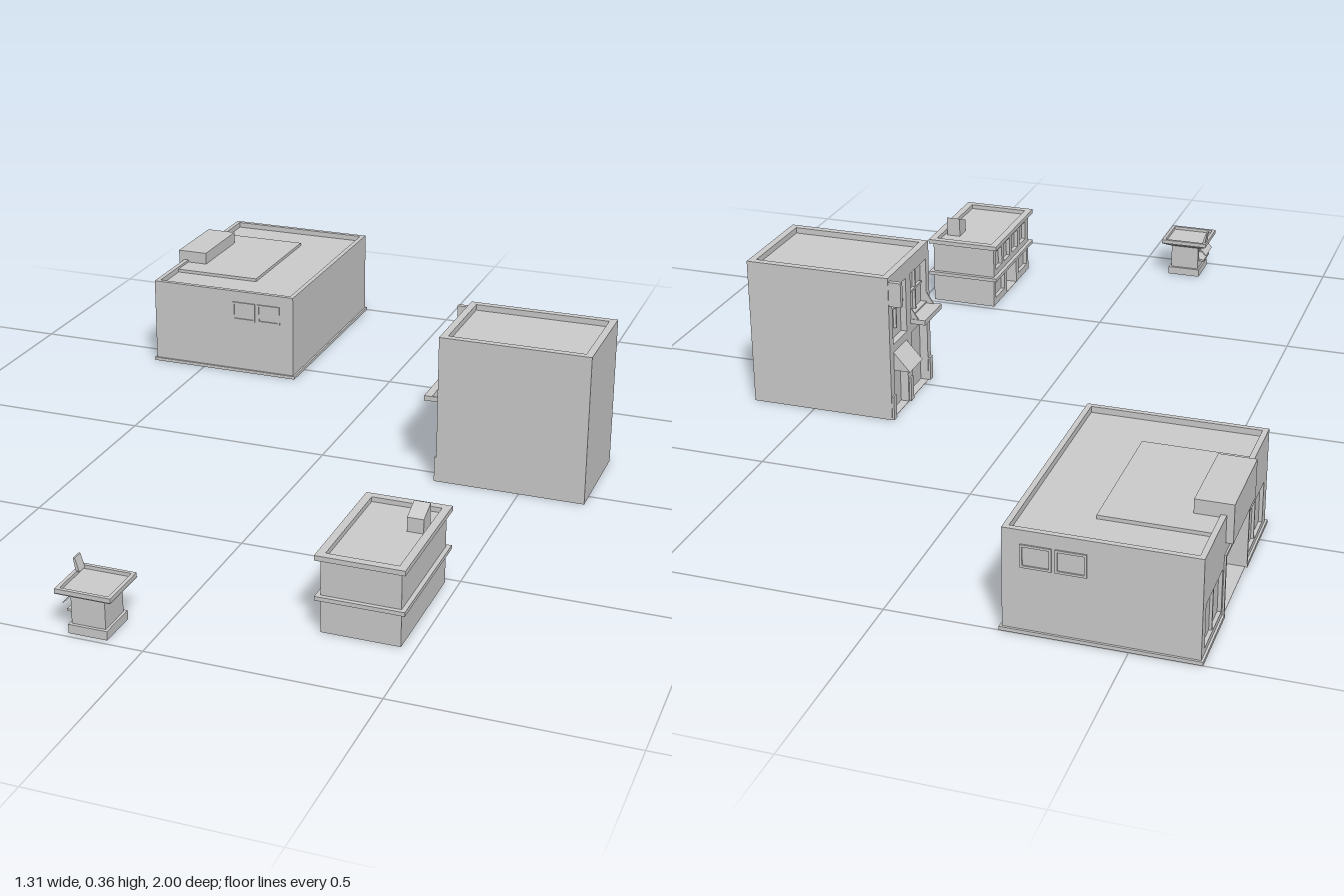
import * as THREE from 'three';

const mat = new THREE.MeshStandardMaterial({ color: 0xcccccc, flatShading: true, side: THREE.DoubleSide });

// Box given by its limits on each axis
function box(parent, name, x0, x1, y0, y1, z0, z1) {
  const m = new THREE.Mesh(new THREE.BoxGeometry(x1 - x0, y1 - y0, z1 - z0), mat);
  m.position.set((x0 + x1) / 2, (y0 + y1) / 2, (z0 + z1) / 2);
  m.name = name;
  parent.add(m);
  return m;
}

// Prism from an (x, y) outline, running from z0 to z1
function prism(parent, name, pts, z0, z1) {
  const shape = new THREE.Shape(pts.map(p => new THREE.Vector2(...p)));
  const m = new THREE.Mesh(new THREE.ExtrudeGeometry(shape, { depth: z1 - z0, bevelEnabled: false }), mat);
  m.position.z = z0;
  m.name = name;
  parent.add(m);
  return m;
}

// Rectangular ring of four bars
function ring(parent, name, x0, x1, y0, y1, z0, z1, w) {
  box(parent, name, x0, x0 + w, y0, y1, z0, z1);
  box(parent, name, x1 - w, x1, y0, y1, z0, z1);
  box(parent, name, x0 + w, x1 - w, y0, y1, z0, z0 + w);
  box(parent, name, x0 + w, x1 - w, y0, y1, z1 - w, z1);
}

// Street wall facing -x; openings are [z0, z1, y0, y1, depth]
function facade(parent, x, t, y0, y1, z0, z1, openings) {
  const rect = (Type, a, b, c, d) => {
    const p = new Type();
    p.moveTo(a, c); p.lineTo(b, c); p.lineTo(b, d); p.lineTo(a, d); p.closePath();
    return p;
  };
  const shape = rect(THREE.Shape, z0, z1, y0, y1);
  for (const [a, b, c, d, depth] of openings) {
    shape.holes.push(rect(THREE.Path, a, b, c, d));
    box(parent, 'openingPanel', x + depth, x + t, c, d, a, b);
  }
  const g = new THREE.ExtrudeGeometry(shape, { depth: t, bevelEnabled: false });
  g.rotateY(-Math.PI / 2);
  const m = new THREE.Mesh(g, mat);
  m.position.x = x + t;
  m.name = 'facade';
  parent.add(m);
}

// Hollow shell: street wall, three plain walls, sunken roof
function shell(parent, x0, x1, h, z0, z1, t, w, sink, openings) {
  facade(parent, x0, t, 0, h - sink, z0, z1, openings);
  box(parent, 'rearWall', x1 - w, x1, 0, h - sink, z0, z1);
  box(parent, 'sideWall', x0 + t, x1 - w, 0, h - sink, z0, z0 + w);
  box(parent, 'sideWall', x0 + t, x1 - w, 0, h - sink, z1 - w, z1);
  box(parent, 'roof', x0 + w, x1 - w, h - sink - 0.006, h - sink, z0 + w, z1 - w);
}

function group(parent, name) {
  const g = new THREE.Group();
  g.name = name;
  parent.add(g);
  return g;
}

// Wide store with a recessed entrance
function store(root) {
  const g = group(root, 'store');
  shell(g, -0.64, -0.245, 0.225, -0.995, -0.43, 0.05, 0.012, 0.014, [
    [-0.82, -0.62, 0.001, 0.135, 0.045],
    [-0.97, -0.835, 0.02, 0.115, 0.008],
    [-0.605, -0.46, 0.02, 0.115, 0.008]]);
  ring(g, 'parapet', -0.64, -0.245, 0.211, 0.225, -0.995, -0.43, 0.012);
  // Skirting, broken at the entrance
  box(g, 'skirting', -0.245, -0.24, 0, 0.008, -1, -0.425);
  for (const z of [-1, -0.43]) box(g, 'skirting', -0.645, -0.24, 0, 0.008, z, z + 0.005);
  box(g, 'skirting', -0.645, -0.64, 0, 0.008, -1, -0.82);
  box(g, 'skirting', -0.645, -0.64, 0, 0.008, -0.62, -0.425);
  box(g, 'roofDeck', -0.63, -0.4, 0.211, 0.219, -0.885, -0.555);
  box(g, 'signBox', -0.655, -0.575, 0.165, 0.25, -0.82, -0.62);
  // Entrance frame, doors and window mullions
  for (const z of [-0.826, -0.62]) box(g, 'entranceFrame', -0.644, -0.64, 0, 0.135, z, z + 0.006);
  box(g, 'entranceFrame', -0.644, -0.64, 0.135, 0.141, -0.826, -0.614);
  for (const z of [-0.77, -0.722, -0.674]) box(g, 'doorPost', -0.6, -0.594, 0, 0.13, z, z + 0.005);
  for (const z of [-0.905, -0.535]) box(g, 'mullion', -0.638, -0.63, 0.02, 0.115, z, z + 0.005);
  // Paired high windows on both side walls
  for (const z of [-0.995, -0.43]) {
    for (const x of [-0.415, -0.345]) {
      const y0 = 0.145, y1 = 0.195, f = 0.005;
      box(g, 'windowFrame', x, x + 0.063, y0, y0 + f, z - 0.003, z + 0.003);
      box(g, 'windowFrame', x, x + 0.063, y1 - f, y1, z - 0.003, z + 0.003);
      box(g, 'windowFrame', x, x + f, y0, y1, z - 0.003, z + 0.003);
      box(g, 'windowFrame', x + 0.063 - f, x + 0.063, y0, y1, z - 0.003, z + 0.003);
    }
  }
}

// Tall town house with awning and balcony
function townHouse(root) {
  const g = group(root, 'townHouse');
  shell(g, 0.3, 0.655, 0.36, -0.212, 0.045, 0.025, 0.015, 0.014, [
    [-0.19, -0.105, 0.001, 0.12, 0.02],
    [-0.19, -0.105, 0.185, 0.32, 0.015],
    [-0.075, 0.025, 0.001, 0.17, 0.02],
    [-0.075, 0.025, 0.21, 0.32, 0.015]]);
  ring(g, 'parapet', 0.3, 0.655, 0.346, 0.36, -0.212, 0.045, 0.017);
  // Sloping awning over the shop window
  prism(g, 'awning', [[0.26, 0.12], [0.3, 0.12], [0.3, 0.165]], -0.19, -0.11);
  box(g, 'balconySlab', 0.263, 0.3, 0.194, 0.206, -0.08, 0.03);
  for (const z of [-0.078, 0.024])
    prism(g, 'balconyBrace', [[0.282, 0.206], [0.3, 0.206], [0.3, 0.235]], z, z + 0.004);
  box(g, 'bladeSign', 0.27, 0.3, 0.29, 0.35, -0.21, -0.198);
  // Pilaster plinths and window bars
  for (const z of [-0.21, -0.1, 0.027]) box(g, 'plinth', 0.295, 0.3, 0, 0.06, z, z + 0.017);
  for (const z of [-0.15, -0.027]) box(g, 'windowBar', 0.308, 0.316, 0.21, 0.32, z, z + 0.005);
  for (const z of [-0.19, -0.075]) box(g, 'windowBar', 0.308, 0.316, 0.262, 0.267, z, z + 0.09);
}

// Two-storey shop with ledges
function shop(root) {
  const g = group(root, 'shop');
  const windows = [0, 1, 2, 3].map(i => [0.532 + i * 0.066, 0.58 + i * 0.066, 0.1, 0.15, 0.01]);
  shell(g, 0.3, 0.47, 0.175, 0.515, 0.805, 0.035, 0.008, 0.012, [
    ...windows,
    [0.53, 0.6, 0.02, 0.065, 0.01],
    [0.62, 0.7, 0.001, 0.07, 0.03],
    [0.72, 0.79, 0.02, 0.065, 0.01]]);
  ring(g, 'storeyLedge', 0.29, 0.48, 0.075, 0.084, 0.505, 0.815, 0.014);
  ring(g, 'roofRim', 0.29, 0.48, 0.164, 0.175, 0.505, 0.815, 0.018);
  box(g, 'doorPost', 0.322, 0.33, 0, 0.07, 0.658, 0.663);
  // Roof hatch with a slanted top
  const hatch = box(g, 'roofHatch', 0.42, 0.456, 0.163, 0.213, 0.582, 0.627);
  const p = hatch.geometry.attributes.position;
  for (let i = 0; i < p.count; i++) if (p.getY(i) > 0 && p.getZ(i) > 0) p.setY(i, 0.007);
}

// Small street kiosk
function kiosk(root) {
  const g = group(root, 'kiosk');
  shell(g, -0.165, -0.09, 0.093, 0.9, 0.98, 0.015, 0.006, 0.005, [[0.912, 0.968, 0.045, 0.08, 0.012]]);
  ring(g, 'plinth', -0.17, -0.084, 0, 0.02, 0.893, 0.987, 0.008);
  // Flared cornice, square in plan
  const c = new THREE.CylinderGeometry(0.062 * Math.SQRT2, 0.042 * Math.SQRT2, 0.011, 4, 1, true);
  c.rotateY(Math.PI / 4);
  const cornice = new THREE.Mesh(c, mat);
  cornice.position.set(-0.128, 0.0875, 0.94);
  cornice.name = 'cornice';
  g.add(cornice);
  box(g, 'roofSlab', -0.185, -0.072, 0.09, 0.095, 0.885, 0.995);
  ring(g, 'roofRim', -0.19, -0.067, 0.093, 0.103, 0.88, 1, 0.008);
  // Serving shelf, slanted awning and roof sign
  box(g, 'servingShelf', -0.18, -0.165, 0.04, 0.045, 0.91, 0.97);
  prism(g, 'awning', [[-0.187, 0.06], [-0.184, 0.06], [-0.163, 0.082], [-0.166, 0.084]], 0.905, 0.975);
  prism(g, 'roofSign', [[-0.186, 0.1], [-0.178, 0.1], [-0.187, 0.13], [-0.191, 0.13]], 0.89, 0.915);
}

export function createModel() {
  const root = new THREE.Group();
  root.name = 'streetBuildings';
  store(root);
  townHouse(root);
  shop(root);
  kiosk(root);
  return root;
}
